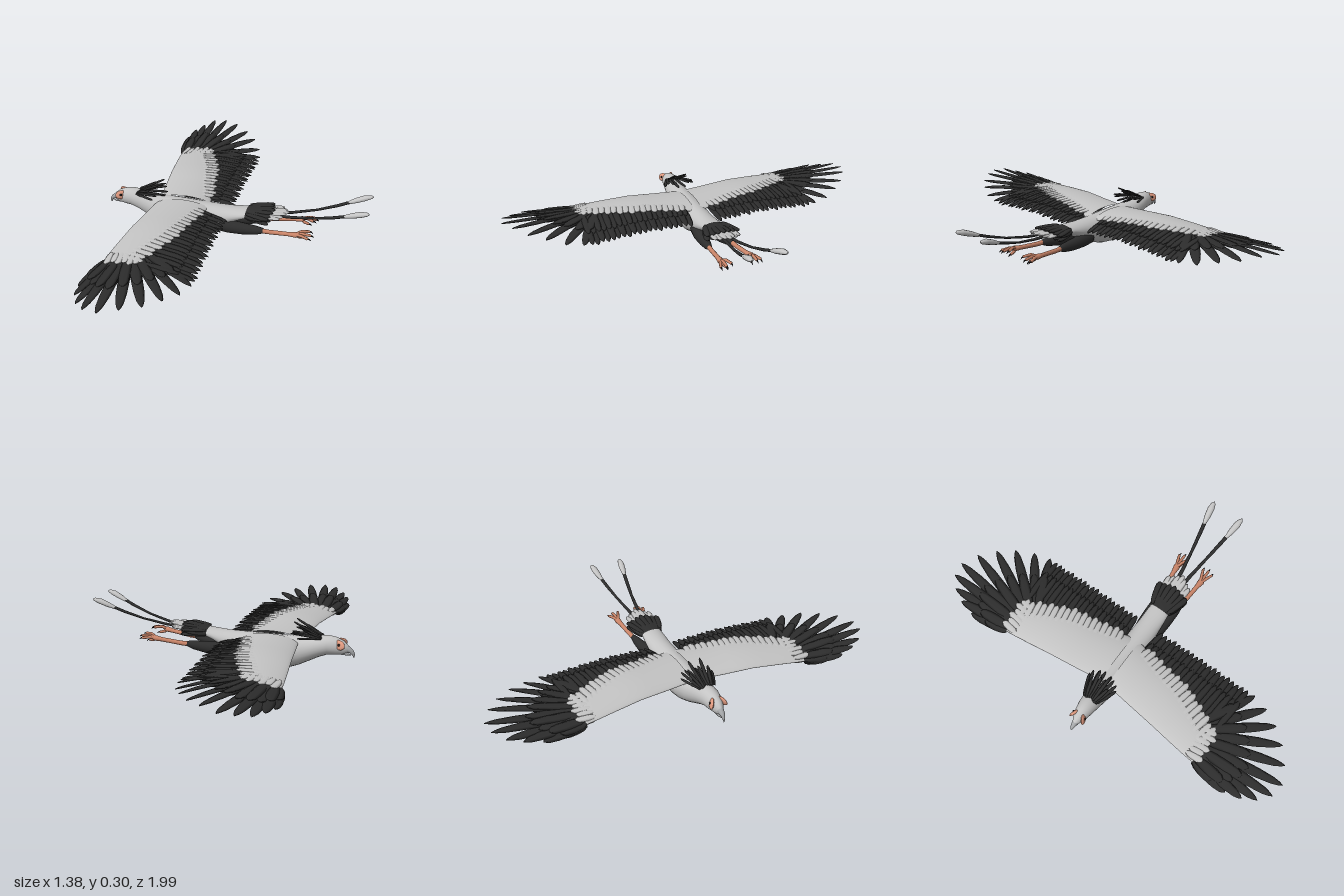
import * as THREE from 'three';
import { mergeGeometries } from 'three/addons/utils/BufferGeometryUtils.js';

const mat = (name, color) => {
  const m = new THREE.MeshStandardMaterial({ color });
  m.name = name;
  return m;
};
const V = (x, y, z) => new THREE.Vector3(x, y, z);

// Elliptical sweep through stations [x, y, z, halfWidth, halfHeight], optional fixed direction
function sweep(st, sides = 6, dir = null) {
  const pos = [], idx = [], up = V(0, 1, 0);
  st.forEach((s, i) => {
    const a = st[Math.max(i - 1, 0)], b = st[Math.min(i + 1, st.length - 1)];
    const d = dir || V(b[0] - a[0], b[1] - a[1], b[2] - a[2]).normalize();
    const right = d.clone().cross(up).normalize(), top = right.clone().cross(d);
    for (let j = 0; j < sides; j++) {
      const t = (j / sides) * Math.PI * 2;
      const p = V(s[0], s[1], s[2])
        .addScaledVector(right, Math.cos(t) * s[3])
        .addScaledVector(top, Math.sin(t) * s[4]);
      pos.push(p.x, p.y, p.z);
      if (i) {
        const k = (j + 1) % sides, A = (i - 1) * sides, B = i * sides;
        idx.push(A + j, B + j, A + k, A + k, B + j, B + k);
      }
    }
  });
  const g = new THREE.BufferGeometry();
  g.setAttribute('position', new THREE.Float32BufferAttribute(pos, 3));
  g.setIndex(idx);
  g.computeVertexNormals();
  return g;
}

// Flat blade from root to tip; pointed or rounded end
const STEPS = [0, 0.15, 0.4, 0.7, 0.88, 0.96, 1];
const ROUND = [0.4, 0.8, 1, 1, 0.85, 0.5, 0.03];
const POINTED = [0.5, 0.85, 1, 0.9, 0.65, 0.35, 0.03];
function feather(a, b, w, h = 0.005, profile = ROUND) {
  return sweep(STEPS.map((t, i) => [
    ...a.map((v, k) => v + (b[k] - v) * t), w * profile[i], h * (0.4 + 0.6 * profile[i])]));
}

// Piecewise linear lookup
function lookup(table, x) {
  for (let i = 1; i < table.length; i++) {
    const [x0, y0] = table[i - 1], [x1, y1] = table[i];
    if (x <= x1 || i === table.length - 1) return y0 + (y1 - y0) * (x - x0) / (x1 - x0);
  }
}

// Wing outline and height rules by distance from the body
const LEAD = [[0, -0.41], [0.1, -0.425], [0.3, -0.45], [0.5, -0.475], [0.62, -0.485]];
const COVERT = [[0, -0.13], [0.2, -0.18], [0.35, -0.205], [0.5, -0.27], [0.6, -0.32]];
const SPAN = [[0, 0.13], [0.15, 0.135], [0.3, 0.142], [0.45, 0.135], [0.6, 0.125], [0.8, 0.137], [1, 0.15]];
const PRIMARY_TIPS = [[-0.51, 0.79], [-0.49, 0.87], [-0.455, 0.935], [-0.4, 0.983], [-0.33, 0.995],
  [-0.245, 0.955], [-0.165, 0.895], [-0.1, 0.82], [-0.05, 0.735], [-0.025, 0.65]];

function bend(g) {
  const p = g.attributes.position;
  for (let i = 0; i < p.count; i++) {
    const u = (p.getX(i) + 0.27) / 0.27;
    p.setY(i, p.getY(i) + lookup(SPAN, Math.abs(p.getZ(i))) + 0.04 * (1 - u * u));
  }
  g.computeVertexNormals();
  return g;
}

export function createModel() {
  const M = {
    grey: mat('pale grey plumage', 0xc4c4c4),
    black: mat('black plumage', 0x2d2d2d),
    face: mat('orange face skin', 0xe09a80),
    leg: mat('pink leg skin', 0xc98468),
    beak: mat('grey beak', 0xa6a8aa),
    dark: mat('dark eye and claws', 0x1c1a1a),
  };
  const model = new THREE.Group();
  model.name = 'flyingBird';
  const add = (name, geos, material, parent = model) => {
    const mesh = new THREE.Mesh(Array.isArray(geos) ? mergeGeometries(geos) : geos, material);
    mesh.name = name;
    parent.add(mesh);
    return mesh;
  };
  const alongX = V(1, 0, 0);

  // Head, neck and body: [x, top, bottom, half width]
  const body = [[-0.665, 0.158, 0.14, 0.004], [-0.655, 0.17, 0.127, 0.015], [-0.635, 0.188, 0.118, 0.026],
    [-0.6, 0.202, 0.113, 0.037], [-0.56, 0.207, 0.11, 0.045], [-0.52, 0.202, 0.094, 0.05],
    [-0.47, 0.192, 0.067, 0.055], [-0.42, 0.186, 0.04, 0.064], [-0.35, 0.184, 0.012, 0.076],
    [-0.29, 0.183, 0, 0.081], [-0.2, 0.18, 0.012, 0.077], [-0.12, 0.178, 0.038, 0.068],
    [-0.04, 0.177, 0.08, 0.06], [0.04, 0.18, 0.125, 0.056], [0.1, 0.184, 0.145, 0.05], [0.14, 0.175, 0.165, 0.01]];
  add('body', sweep(body.map(([x, t, b, w]) => [x, (t + b) / 2, 0, w, (t - b) / 2]), 24, alongX), M.grey);

  // Hooked upper beak and lower beak
  add('upperBeak', sweep([[-0.63, 0.152, 0, 0.02, 0.02], [-0.655, 0.148, 0, 0.016, 0.017],
    [-0.675, 0.138, 0, 0.011, 0.012], [-0.686, 0.123, 0, 0.006, 0.008], [-0.689, 0.105, 0, 0.001, 0.001]], 12), M.beak);
  add('lowerBeak', sweep([[-0.62, 0.128, 0, 0.018, 0.012], [-0.655, 0.122, 0, 0.012, 0.008],
    [-0.675, 0.118, 0, 0.001, 0.001]], 10), M.beak);

  // Crest of loose nape feathers
  const crest = [];
  for (const k of [-1, 1]) {
    for (const [x, y, z] of [[-0.39, 0.268, 0.03], [-0.41, 0.24, 0.012], [-0.385, 0.218, 0.045], [-0.37, 0.202, 0.02],
      [-0.4, 0.22, 0.07], [-0.42, 0.2, 0.082], [-0.44, 0.235, 0.05]]) {
      crest.push(feather([-0.53, 0.196, k * z * 0.45], [x, y, k * z], 0.009, 0.005));
    }
  }
  add('crest', crest, M.black);

  // Tail: pale end feathers, black band, two long streamers
  const tailEnds = [], tailBand = [];
  for (let i = -3; i <= 3; i++) {
    const a = Math.abs(i), dy = (i & 1) * 0.003;
    tailEnds.push(feather([0.08, 0.168, i * 0.012], [0.288 - a * 0.013, 0.193 - a * 0.005 + dy, i * 0.021], 0.018, 0.006));
    for (const layer of [-1, 1]) {
      tailBand.push(feather([0.07, 0.163 + layer * 0.013, i * 0.016],
        [0.212 - a * 0.006, 0.182 + layer * 0.012 - a * 0.006 + dy, i * 0.028], 0.018, 0.007));
    }
  }
  add('tailEndFeathers', tailEnds, M.grey);
  add('tailBandFeathers', tailBand, M.black);
  add('tailBand', sweep([[0.065, 0.16, 0, 0.057, 0.023], [0.1, 0.162, 0, 0.074, 0.025], [0.15, 0.168, 0, 0.088, 0.019],
    [0.19, 0.175, 0, 0.082, 0.01], [0.2, 0.177, 0, 0.06, 0.002]], 16, alongX), M.black);

  for (const k of [-1, 1]) {
    const side = k > 0 ? 'right' : 'left';
    add(side + 'Streamer', sweep([[0.18, 0.168, k * 0.015, 0.011, 0.007], [0.3, 0.18, k * 0.025, 0.01, 0.006],
      [0.42, 0.204, k * 0.043, 0.008, 0.005], [0.52, 0.235, k * 0.06, 0.01, 0.007],
      [0.6, 0.266, k * 0.074, 0.01, 0.007]], 8), M.black);
    add(side + 'StreamerTip', sweep([[0.57, 0.254, k * 0.069, 0.009, 0.008], [0.61, 0.27, k * 0.076, 0.016, 0.013],
      [0.65, 0.286, k * 0.082, 0.018, 0.014], [0.68, 0.294, k * 0.086, 0.011, 0.009],
      [0.69, 0.296, k * 0.087, 0.001, 0.001]], 10), M.grey);

    // Face patch and eye
    const patch = add(side + 'FacePatch', new THREE.SphereGeometry(1, 20, 14), M.face);
    patch.scale.set(0.031, 0.023, 0.009);
    patch.position.set(-0.619, 0.172, k * 0.027);
    patch.rotation.set(-k * 0.3, k * 0.35, 0.35);
    const eye = add(side + 'Eye', new THREE.SphereGeometry(0.007, 12, 8), M.dark);
    eye.position.set(-0.618, 0.174, k * 0.033);

    // Leg, toes and claws
    add(side + 'Thigh', sweep([[-0.09, 0.085, k * 0.036, 0.028, 0.034], [-0.02, 0.085, k * 0.042, 0.034, 0.035],
      [0.06, 0.088, k * 0.051, 0.029, 0.031], [0.13, 0.095, k * 0.059, 0.021, 0.023],
      [0.165, 0.1, k * 0.063, 0.013, 0.014], [0.168, 0.1, k * 0.063, 0.001, 0.001]], 14), M.black);
    add(side + 'Shank', sweep([[0.14, 0.098, k * 0.062, 0.012, 0.013], [0.2, 0.1, k * 0.066, 0.011, 0.012],
      [0.3, 0.11, k * 0.074, 0.012, 0.011], [0.34, 0.115, k * 0.078, 0.018, 0.014],
      [0.362, 0.117, k * 0.08, 0.002, 0.002]], 10), M.leg);
    const toes = [], claws = [];
    for (const [x, y, z] of [[0.4, 0.127, 0.05], [0.41, 0.122, 0.078], [0.4, 0.117, 0.104], [0.375, 0.098, 0.066]]) {
      toes.push(sweep([[0.33, 0.115, k * 0.078, 0.008, 0.008], [(x + 0.33) / 2, y + 0.004, k * (z + 0.078) / 2, 0.008, 0.008],
        [x, y, k * z, 0.007, 0.007], [x + 0.008, y - 0.002, k * z, 0.001, 0.001]], 8));
      claws.push(sweep([[x, y, k * z, 0.005, 0.005], [x + 0.011, y - 0.002, k * z, 0.003, 0.003],
        [x + 0.018, y - 0.009, k * z, 0.001, 0.001]], 6));
    }
    add(side + 'Toes', toes, M.leg);
    add(side + 'Claws', claws, M.dark);

    // Wing: laid out flat, then bent to its arch
    const wing = new THREE.Group();
    wing.name = side + 'Wing';
    model.add(wing);
    const row = (name, geos, material) => add(name, geos.map(bend), material, wing);
    const panel = [0.02, 0.08, 0.15, 0.22, 0.3, 0.38, 0.45, 0.52, 0.58, 0.605].map((z, i) => {
      const l = lookup(LEAD, z), t = lookup(COVERT, z);
      return [(l + t) / 2, 0.002, k * z, (t - l) / 2, i === 9 ? 0.004 : 0.018 - z * 0.01];
    });
    row('innerWing', [sweep(panel, 28, V(0, 0, k))], M.grey);
    row('outerWing', [sweep([[-0.39, 0, k * 0.52, 0.08, 0.01], [-0.41, 0, k * 0.62, 0.08, 0.011],
      [-0.44, 0, k * 0.7, 0.065, 0.008], [-0.475, 0, k * 0.77, 0.03, 0.003]], 14, V(0, 0, k))], M.black);

    // Secondaries and their dark coverts
    const secondaries = [], darkCoverts = [];
    for (let i = 0; i < 20; i++) {
      const z = 0.075 + i * 0.0275, lift = (i % 2) * 0.004 - 0.002;
      secondaries.push(feather([-0.32, lift, k * (z - 0.01)], [-0.018 - (i % 3) * 0.004, lift, k * (z + 0.008)], 0.019));
      for (const v of [-0.007, 0.007]) {
        darkCoverts.push(feather([-0.3, v + lift, k * (z - 0.01)], [-0.1, v + lift, k * (z + 0.006)], 0.017, 0.004));
      }
    }
    row('secondaries', secondaries, M.black);
    row('secondaryCoverts', darkCoverts, M.black);

    // Fanned primaries with a shorter covert row
    const primaries = [], primaryCoverts = [];
    PRIMARY_TIPS.forEach(([x, z], i) => {
      const s = i / (PRIMARY_TIPS.length - 1), rx = -0.475 + 0.19 * s, rz = 0.58 - 0.06 * s;
      const lift = (i % 2) * 0.004 - 0.002;
      primaries.push(feather([rx, lift, k * rz], [x, lift, k * z], 0.027, 0.005, POINTED));
      for (const v of [-0.007, 0.007]) {
        primaryCoverts.push(feather([rx, v + lift, k * rz],
          [rx + (x - rx) * 0.6, v + lift, k * (rz + (z - rz) * 0.6)], 0.025, 0.004));
      }
    });
    row('primaries', primaries, M.black);
    row('primaryCoverts', primaryCoverts, M.black);

    // Pale covert fringe along the rear and outer edge of the inner wing
    const fringe = [];
    for (const v of [-0.009, 0.012]) {
      for (let i = 0; i < 18; i++) {
        const z = 0.08 + i * 0.029, t = lookup(COVERT, z);
        fringe.push(feather([t - 0.09, v, k * (z - 0.015)], [t + 0.012 + (i % 2) * 0.012, v, k * (z + 0.008)], 0.018, 0.004));
      }
      for (let i = 0; i < 6; i++) {
        const x = -0.46 + i * 0.028;
        fringe.push(feather([x, v, k * 0.53], [x + 0.01, v, k * (0.62 - (i % 2) * 0.015)], 0.018, 0.004));
      }
    }
    row('covertFringe', fringe, M.grey);
  }
  return model;
}
